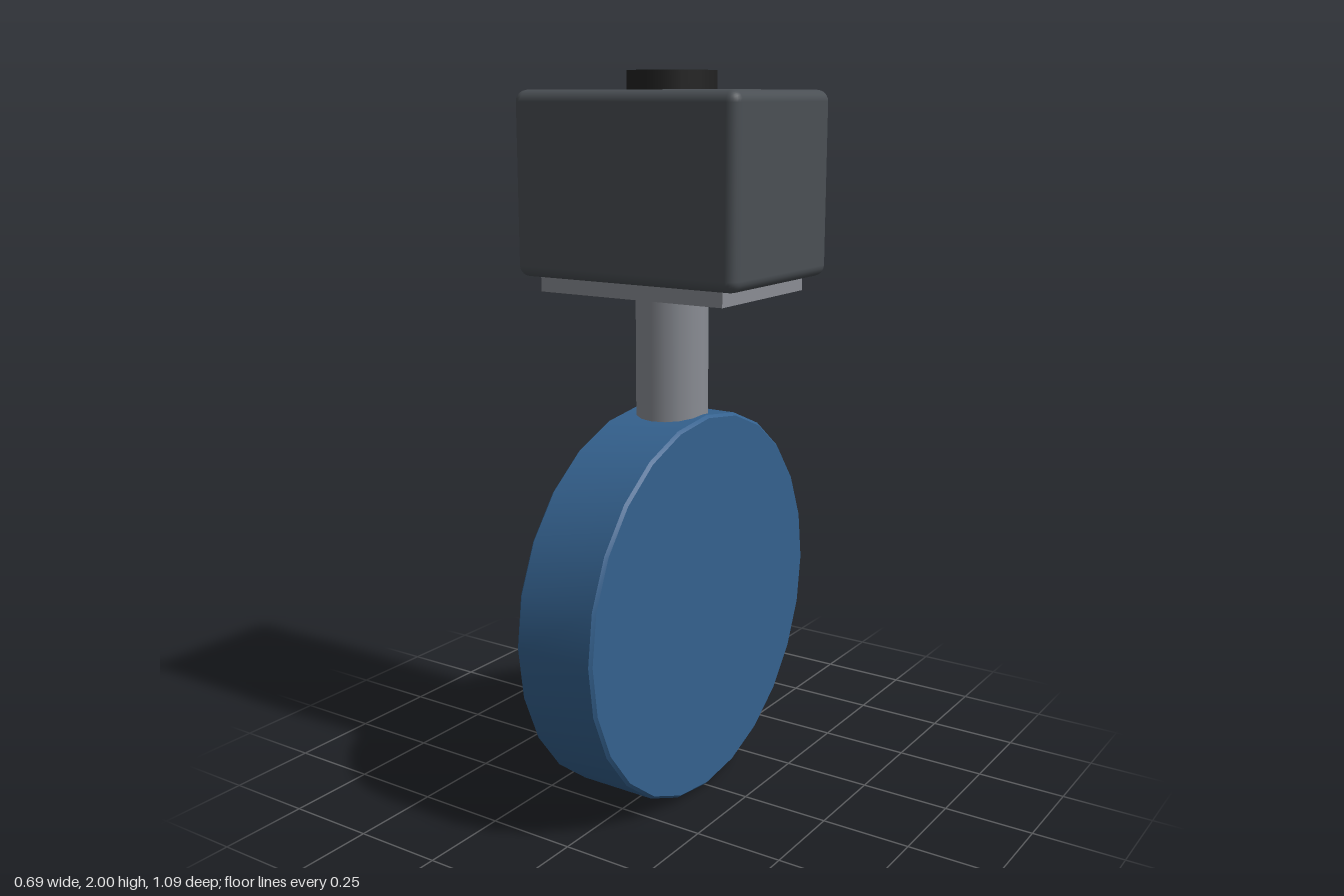
import * as THREE from 'three';
import { RoundedBoxGeometry } from 'three/addons/geometries/RoundedBoxGeometry.js';
import { toCreasedNormals } from 'three/addons/utils/BufferGeometryUtils.js';

const WHEEL_R = 0.546, WHEEL_HALF = 0.12, BEVEL = 0.008;

export function createModel() {
  const model = new THREE.Group();
  model.name = 'casterModel';

  const add = (name, geometry, color, y) => {
    const mesh = new THREE.Mesh(geometry, new THREE.MeshStandardMaterial({ color }));
    mesh.name = name;
    mesh.position.y = y;
    model.add(mesh);
    return mesh;
  };

  // Wheel disc with a fine bevel, its axle along x
  const profile = [
    [0, -WHEEL_HALF], [WHEEL_R - BEVEL, -WHEEL_HALF], [WHEEL_R, -WHEEL_HALF + BEVEL],
    [WHEEL_R, WHEEL_HALF - BEVEL], [WHEEL_R - BEVEL, WHEEL_HALF], [0, WHEEL_HALF],
  ].map(([r, h]) => new THREE.Vector2(r, h));
  const wheel = toCreasedNormals(new THREE.LatheGeometry(profile, 24), 0.5);
  wheel.rotateZ(Math.PI / 2);
  add('wheel', wheel, 0x34618e, 0.55);

  // Stem sunk into the top of the wheel
  add('stem', new THREE.CylinderGeometry(0.1, 0.1, 0.41, 16), 0x8a8d94, 1.235);

  // Mounting plate under the body
  add('mountingPlate', new THREE.BoxGeometry(0.57, 0.05, 0.41), 0x8a8d94, 1.45);

  // Rounded body block
  add('body', new RoundedBoxGeometry(0.686, 0.486, 0.484, 3, 0.03), 0x4a4f54, 1.708);

  // Round button on top
  add('topButton', new THREE.CylinderGeometry(0.12, 0.12, 0.06, 16), 0x222222, 1.97);

  return model;
}
